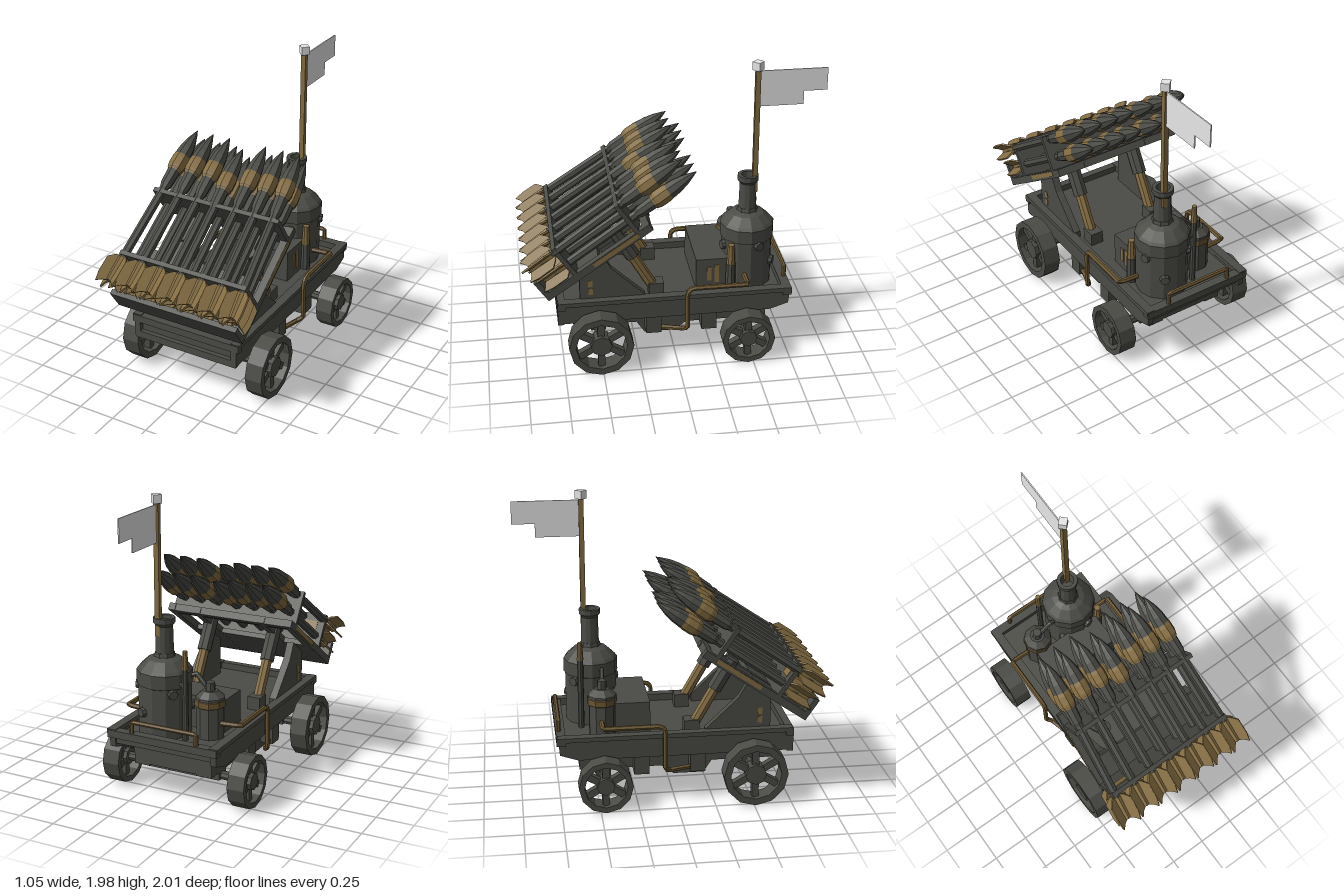
import * as THREE from 'three';

export function createModel() {
  const mat = (name, color) => Object.assign(new THREE.MeshStandardMaterial({ color }), { name });
  const iron = mat('dark iron', 0x4b4c46);
  const brass = mat('worn brass', 0x846d42);
  const rust = mat('dull brass', 0x6b5631);
  const cloth = mat('pale cloth', 0xe8e8e8);

  const root = new THREE.Group();
  root.name = 'rocketCart';

  // faceted mesh helper
  function add(parent, name, geo, material, x = 0, y = 0, z = 0) {
    const g = geo.index ? geo.toNonIndexed() : geo;
    g.computeVertexNormals();
    const m = new THREE.Mesh(g, material);
    m.name = name;
    m.position.set(x, y, z);
    parent.add(m);
    return m;
  }
  const box = (w, h, d) => new THREE.BoxGeometry(w, h, d);
  const cyl = (r0, r1, h, n = 8) => new THREE.CylinderGeometry(r0, r1, h, n);
  const lathe = (pts, n) => new THREE.LatheGeometry(pts.map(p => new THREE.Vector2(...p)), n);
  const group = (parent, name, x = 0, y = 0, z = 0) => {
    const g = new THREE.Group();
    g.name = name;
    g.position.set(x, y, z);
    parent.add(g);
    return g;
  };
  // side profile given as [z, y], extruded across x
  function profile(pts, width) {
    const g = new THREE.ExtrudeGeometry(new THREE.Shape(pts.map(p => new THREE.Vector2(...p))),
      { depth: width, bevelEnabled: false });
    return g.translate(0, 0, -width / 2).rotateY(-Math.PI / 2);
  }
  // bent pipe through straight runs
  function pipe(parent, name, pts, r, material) {
    const path = new THREE.CurvePath();
    const v = pts.map(p => new THREE.Vector3(...p));
    for (let i = 1; i < v.length; i++) path.add(new THREE.LineCurve3(v[i - 1], v[i]));
    return add(parent, name, new THREE.TubeGeometry(path, 40, r, 6), material);
  }
  // cylinder between two points
  function rod(parent, name, a, b, r0, r1, material) {
    const p = new THREE.Vector3(...a), q = new THREE.Vector3(...b);
    const d = q.clone().sub(p);
    const m = add(parent, name, cyl(r1, r0, d.length(), 8), material);
    m.position.copy(p).addScaledVector(d, 0.5);
    m.quaternion.setFromUnitVectors(new THREE.Vector3(0, 1, 0), d.normalize());
    return m;
  }

  // cart bed
  const bed = group(root, 'bed');
  const wall = [[0.78, 0.33], [0.78, 0.48], [-0.76, 0.48], [-0.75, 0.37], [-0.63, 0.33]];
  add(bed, 'floor', profile([[0.75, 0.36], [0.75, 0.44], [-0.74, 0.44], [-0.74, 0.39], [-0.62, 0.36]], 0.72), iron);
  for (const s of [-1, 1]) {
    add(bed, 'sideWall', profile(wall, 0.04), iron, s * 0.36);
    add(bed, 'sideLip', box(0.06, 0.03, 1.54), iron, s * 0.365, 0.475, 0.005);
    add(bed, 'underBeam', box(0.05, 0.1, 1.25), iron, s * 0.25, 0.29, 0.05);
    add(bed, 'hullKeel', profile([[0.32, 0.34], [0.2, 0.16], [0.0, 0.16], [-0.08, 0.22], [-0.62, 0.22], [-0.62, 0.34]], 0.11), iron, s * 0.225);
  }
  add(bed, 'frontLip', box(0.79, 0.05, 0.05), iron, 0, 0.46, 0.755);
  add(bed, 'frontBoard', box(0.75, 0.05, 0.04), iron, 0, 0.345, 0.76);
  add(bed, 'rearLip', box(0.78, 0.05, 0.06), iron, 0, 0.46, -0.74);
  add(bed, 'hull', profile([[0.31, 0.34], [0.2, 0.19], [0.0, 0.19], [-0.06, 0.23], [-0.62, 0.23], [-0.62, 0.34]], 0.36), iron);
  for (const z of [0.15, -0.22])
    add(bed, 'crossBeam', box(0.74, 0.14, 0.1), iron, 0, 0.275, z);

  // wheels and axles
  function axleSet(z, R, x) {
    rod(root, 'axle', [-x, R + 0.01, z], [x, R + 0.01, z], 0.03, 0.03, iron);
    add(root, 'axleBlock', box(0.56, 0.1, 0.1), iron, 0, R + 0.04, z);
    for (const s of [-1, 1]) {
      const w = group(root, 'wheel', s * x, R + 0.01, z);
      w.rotation.z = Math.PI / 2;
      const ri = R * 0.79, h = 0.059;
      add(w, 'rim', lathe([[ri, -h], [R, -h], [R, h], [ri, h], [ri, -h]], 12), iron);
      add(w, 'hub', cyl(R * 0.33, R * 0.33, 0.1, 8), iron);
      for (let i = 0; i < 6; i++) {
        const a = i * Math.PI / 3, c = R * 0.55;
        add(w, 'spoke', box(R * 0.6, 0.05, 0.045), iron, Math.cos(a) * c, 0, Math.sin(a) * c).rotation.y = -a;
      }
    }
  }
  axleSet(0.51, 0.212, 0.467);
  axleSet(-0.465, 0.176, 0.455);

  // main boiler with chimney
  const boiler = group(root, 'boiler', 0.11, 0, -0.51);
  add(boiler, 'boilerShell', lathe([[0, 0.44], [0.17, 0.44], [0.17, 0.77], [0.18, 0.775], [0.18, 0.865],
    [0.165, 0.885], [0.11, 0.935], [0.06, 0.955], [0.055, 1.15], [0.07, 1.17], [0.07, 1.205],
    [0.045, 1.205], [0.04, 1.1], [0, 1.1]], 12), iron);
  add(boiler, 'chimneyCollar', cyl(0.065, 0.075, 0.04, 8), iron, 0, 0.955, 0);
  for (const [a, y] of [[-0.32, 0.75], [1.3, 0.72], [2.4, 0.6], [3.9, 0.74], [5.2, 0.6]]) {
    const p = add(boiler, 'boilerCap', cyl(0.03, 0.036, 0.03, 8), iron, Math.cos(a) * 0.172, y, Math.sin(a) * 0.172);
    p.rotation.set(0, -a, -Math.PI / 2, 'YXZ');
  }
  // whistle pipe on the tank side, steam pipe to the small tank, valve at the front
  rod(boiler, 'whistlePipe', [-0.19, 0.44, -0.08], [-0.19, 0.92, -0.08], 0.02, 0.02, iron);
  rod(boiler, 'whistle', [-0.19, 0.91, -0.08], [-0.19, 1.03, -0.08], 0.022, 0.016, brass);
  rod(boiler, 'whistleArm', [-0.19, 0.8, -0.08], [-0.1, 0.8, -0.06], 0.016, 0.016, iron);
  pipe(boiler, 'steamPipe', [[-0.1, 0.8, 0.05], [-0.2, 0.84, 0.06], [-0.3, 0.74, 0.05]], 0.016, iron);
  rod(boiler, 'valvePost', [0.15, 0.44, 0.13], [0.15, 0.63, 0.13], 0.033, 0.033, iron);
  rod(boiler, 'valveCap', [0.15, 0.62, 0.13], [0.15, 0.77, 0.13], 0.03, 0.022, brass);

  // small tank
  const tank = group(root, 'smallTank', -0.19, 0, -0.46);
  add(tank, 'tankShell', lathe([[0, 0.44], [0.09, 0.44], [0.09, 0.66], [0.095, 0.67], [0.095, 0.71], [0.05, 0.75], [0, 0.75]], 9), iron);
  add(tank, 'tankBand', lathe([[0.092, 0.645], [0.1, 0.65], [0.1, 0.69], [0.092, 0.695]], 9), rust);
  add(tank, 'tankNeck', cyl(0.03, 0.035, 0.07, 7), iron, 0, 0.77, 0);

  // engine box
  add(root, 'engineBox', box(0.49, 0.24, 0.23), iron, -0.005, 0.54, -0.265);
  for (const [z, h] of [[-0.24, 0.1], [-0.29, 0.13]])
    add(root, 'boxPatch', box(0.006, h, 0.03), brass, 0.242, 0.55, z);

  // flagpole and flag
  add(root, 'flagpole', box(0.033, 0.86, 0.033), brass, 0.13, 1.52, -0.55);
  add(root, 'poleCap', box(0.054, 0.055, 0.054), cloth, 0.13, 1.965, -0.55).rotation.y = Math.PI / 4;
  add(root, 'flag', profile([[-0.565, 1.69], [-0.565, 1.93], [-1.0, 1.93], [-1.0, 1.78], [-0.85, 1.78], [-0.85, 1.69]], 0.008), cloth, 0.13);

  // side pipes and rear handrail
  for (const s of [-1, 1])
    pipe(root, 'sidePipe', [[s * 0.25, 0.54, -0.47], [s * 0.41, 0.55, -0.47], [s * 0.41, 0.55, -0.1],
      [s * 0.41, 0.52, -0.07], [s * 0.41, 0.25, -0.07], [s * 0.38, 0.23, -0.04], [s * 0.33, 0.23, 0.14]], 0.017, rust);
  pipe(root, 'rearRail', [[-0.24, 0.46, -0.75], [-0.24, 0.56, -0.75], [0.22, 0.56, -0.75], [0.22, 0.46, -0.75]], 0.015, rust);

  // rack supports
  for (const s of [-1, 1]) {
    add(root, 'bracket', profile([[0.63, 0.43], [0.63, 0.73], [0.48, 0.81], [0.42, 0.7], [0.2, 0.49], [0.2, 0.43]], 0.05), iron, s * 0.32);
    for (const y of [0.54, 0.6])
      add(root, 'bracketPatch', box(0.006, 0.045, 0.03), brass, s * 0.346, y, 0.56);
    rod(root, 'strutRod', [s * 0.24, 0.46, 0.12], [s * 0.24, 0.76, 0.29], 0.037, 0.037, brass);
    rod(root, 'strutSleeve', [s * 0.24, 0.73, 0.272], [s * 0.24, 0.93, 0.39], 0.05, 0.05, iron);
    add(root, 'strutFoot', box(0.09, 0.1, 0.1), iron, s * 0.24, 0.48, 0.12);
  }

  // rack: local y runs along the rockets, local z is the tray's upper side
  const tilt = 34.5 * Math.PI / 180;
  const rack = group(root, 'rack', 0, 0.563, 0.835);
  rack.rotation.x = tilt - Math.PI / 2;
  add(rack, 'tray', box(0.92, 0.42, 0.035), iron, 0, 0.21, 0.018);
  add(rack, 'endBoard', box(0.92, 0.035, 0.16), iron, 0, 0.017, 0.08);
  for (const s of [-1, 1]) {
    add(rack, 'sideRail', box(0.05, 0.82, 0.05), iron, s * 0.435, 0.41, 0.025);
    add(rack, 'railPatch', box(0.006, 0.35, 0.03), brass, s * 0.461, 0.55, 0.03);
    add(rack, 'innerRail', box(0.05, 0.82, 0.04), iron, s * 0.24, 0.41, 0.02);
  }
  add(rack, 'lowerFrame', box(0.92, 0.03, 0.28), iron, 0, 0.245, 0.145);
  add(rack, 'framePatch', box(0.1, 0.006, 0.06), brass, -0.36, 0.261, 0.2);
  add(rack, 'upperFrame', box(0.92, 0.03, 0.27), iron, 0, 0.73, 0.145);
  add(rack, 'topCrossbar', box(0.92, 0.05, 0.05), iron, 0, 0.79, 0.025);

  // two rows of rockets, fanned at the tails
  const finShape = new THREE.Shape([[0, 0.23], [0.05, 0.22], [0.092, 0.18], [0.092, 0.07], [0.08, 0.005], [0.05, 0.03], [0, 0.05]].map(p => new THREE.Vector2(...p)));
  function rocket(noseX, tailX, u, v, len) {
    const r = group(rack, 'rocket', tailX, u, v);
    r.rotation.z = Math.atan((tailX - noseX) / 1.24);
    add(r, 'shaft', cyl(0.029, 0.029, 0.76, 7), iron, 0, 0.5, 0);
    const head = group(r, 'head', 0, len - 1.24, 0);
    add(head, 'headBase', lathe([[0.029, 0.77], [0.04, 0.8], [0.044, 0.9], [0.055, 0.92]], 8), iron);
    add(head, 'headBand', lathe([[0.05, 0.905], [0.06, 0.94], [0.06, 1.0], [0.056, 1.025]], 8), brass);
    add(head, 'noseCone', lathe([[0.056, 1.02], [0.05, 1.085], [0.035, 1.15], [0.017, 1.2], [0, 1.24]], 8), iron);
    add(r, 'tail', cyl(0.034, 0.028, 0.17, 6), brass, 0, 0.13, 0);
    for (const a of [0.6, -0.6, Math.PI - 0.6, Math.PI + 0.6]) {
      const fin = new THREE.ExtrudeGeometry(finShape, { depth: 0.012, bevelEnabled: false }).translate(0, 0, -0.006);
      add(r, 'fin', fin, brass).rotation.y = a;
    }
  }
  [-0.385, -0.265, -0.14, -0.015, 0.13, 0.255, 0.375].forEach((x, i) => {
    const len = i === 3 ? 1.18 : 1.235;
    rocket(x, -0.45 + i * 0.15, 0, 0.254, len);
    rocket(x, -0.42 + i * 0.14, 0.02, 0.127, len);
  });

  return root;
}
